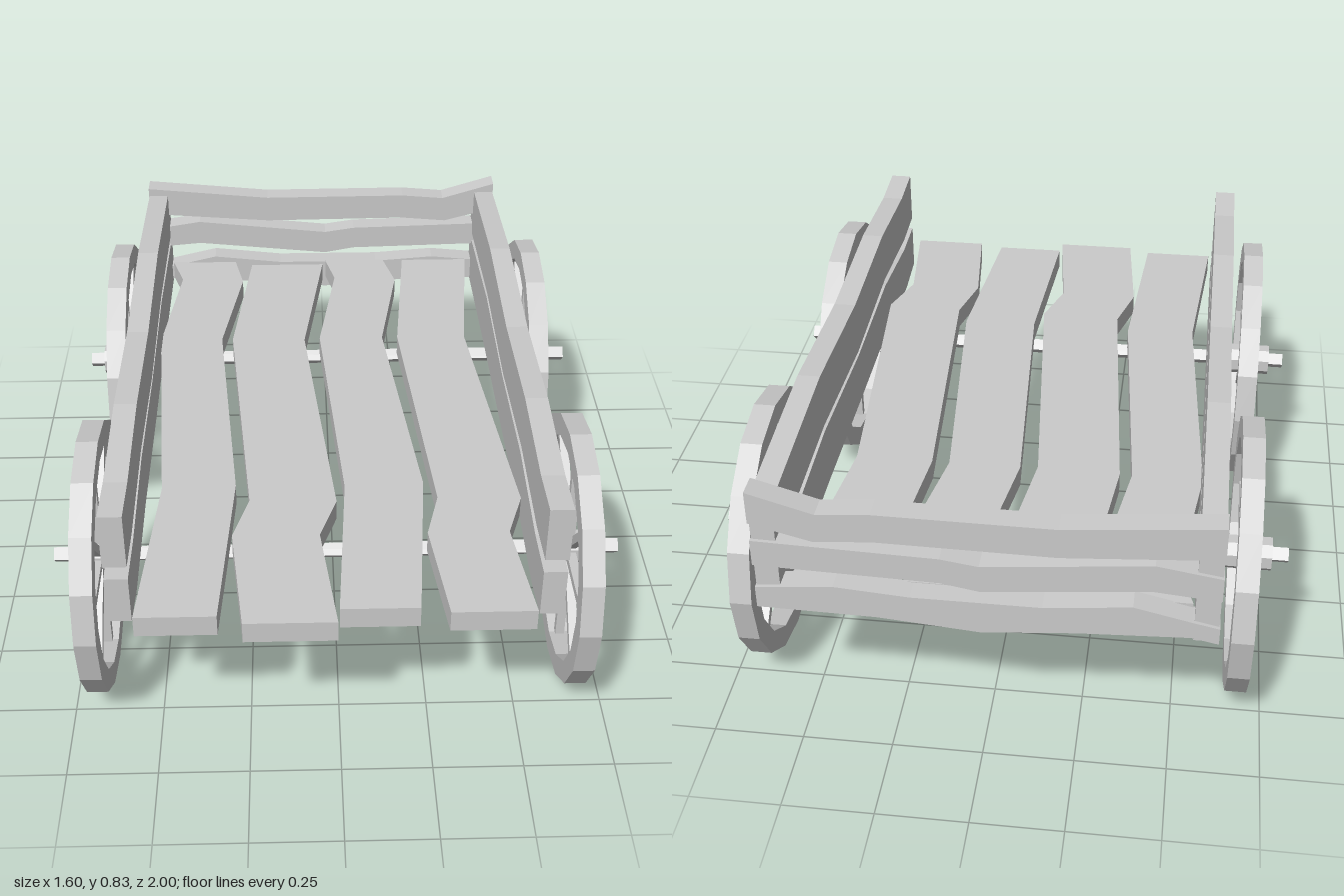
import * as THREE from 'three';

const wood = new THREE.MeshStandardMaterial({ color: 0xcccccc, flatShading: true });

function add(parent, name, geometry, x = 0, y = 0, z = 0) {
  const mesh = new THREE.Mesh(geometry, wood);
  mesh.name = name;
  mesh.position.set(x, y, z);
  parent.add(mesh);
  return mesh;
}

// A warped plank: two wavy edges joined into an outline, then given thickness
function plank(edgeA, edgeB, depth) {
  const points = [...edgeA, ...[...edgeB].reverse()].map(([x, y]) => new THREE.Vector2(x, y));
  return new THREE.ExtrudeGeometry(new THREE.Shape(points), { depth, bevelEnabled: false });
}

function polygon(radius, sides) {
  return Array.from({ length: sides }, (_, i) => {
    const a = (i / sides) * Math.PI * 2;
    return new THREE.Vector2(Math.cos(a) * radius, Math.sin(a) * radius);
  });
}

// Wheel with its axis along x
function createWheel(name) {
  const wheel = new THREE.Group();
  wheel.name = name;
  const ring = new THREE.Shape(polygon(0.387, 16));
  ring.holes.push(new THREE.Path(polygon(0.325, 16)));
  const rim = new THREE.ExtrudeGeometry(ring, { depth: 0.06, bevelEnabled: false });
  add(wheel, 'rim', rim.translate(0, 0, -0.03).rotateY(Math.PI / 2));
  const hub = new THREE.CylinderGeometry(0.048, 0.048, 0.157, 8);
  add(wheel, 'hub', hub.rotateY(Math.PI / 8).rotateZ(Math.PI / 2));
  for (let i = 0; i < 8; i++) {
    const spoke = new THREE.BoxGeometry(0.026, 0.3, 0.024).translate(0, 0.185, 0);
    add(wheel, 'spoke', spoke).rotation.x = (i * Math.PI) / 4;
  }
  return wheel;
}

export function createModel() {
  const cart = new THREE.Group();
  cart.name = 'cart';

  // Floor planks, edges as [x, z]
  const floor = [
    [[[-0.54, -0.94], [-0.5, -0.81], [-0.55, -0.4], [-0.495, 0.42], [-0.535, 0.97]],
      [[-0.32, -0.94], [-0.29, -0.79], [-0.35, -0.4], [-0.285, 0.41], [-0.32, 0.97]]],
    [[[-0.26, -0.91], [-0.315, -0.4], [-0.245, 0.48], [-0.29, 0.64], [-0.255, 1]],
      [[-0.01, -0.91], [-0.08, -0.39], [0, 0.49], [-0.05, 0.64], [-0.01, 1]]],
    [[[0, -0.94], [0.03, -0.81], [-0.03, -0.4], [0.025, 0.42], [-0.005, 0.95]],
      [[0.205, -0.94], [0.24, -0.79], [0.175, -0.4], [0.25, 0.41], [0.205, 0.95]]],
    [[[0.275, -0.94], [0.225, -0.4], [0.285, 0.48], [0.245, 0.64], [0.28, 0.97]],
      [[0.5, -0.94], [0.445, -0.4], [0.52, 0.49], [0.47, 0.64], [0.505, 0.97]]],
  ];
  for (const [a, b] of floor) {
    add(cart, 'floorPlank', plank(a, b, 0.062).rotateX(Math.PI / 2), 0, 0.537, 0);
  }

  // Side boards, edges as [z, y]
  const sides = {
    lowerSideBoard: [
      [[-0.99, 0.46], [-0.45, 0.475], [0, 0.475], [0.42, 0.48], [0.76, 0.455], [0.91, 0.475]],
      [[-0.99, 0.61], [-0.45, 0.65], [0, 0.63], [0.42, 0.645], [0.75, 0.61], [0.91, 0.615]]],
    upperSideBoard: [
      [[-0.99, 0.64], [-0.45, 0.67], [0, 0.645], [0.42, 0.67], [0.76, 0.645], [0.91, 0.655]],
      [[-0.99, 0.795], [-0.45, 0.833], [0, 0.807], [0.42, 0.828], [0.75, 0.805], [0.91, 0.815]]],
  };
  for (const [name, [low, high]] of Object.entries(sides)) {
    for (const [side, outerX] of [['left', 0.583], ['right', -0.545]]) {
      add(cart, `${side} ${name}`, plank(low, high, 0.063).rotateY(-Math.PI / 2), outerX);
    }
  }

  // Back boards, edges as [x, y]
  const back = [
    [[[-0.61, 0.46], [-0.54, 0.475], [-0.25, 0.46], [0, 0.437], [0.27, 0.46], [0.585, 0.465]],
      [[-0.61, 0.51], [-0.54, 0.525], [-0.39, 0.56], [-0.16, 0.535], [0.18, 0.535], [0.38, 0.55], [0.585, 0.53]]],
    [[[-0.61, 0.6], [-0.44, 0.615], [0, 0.572], [0.1, 0.59], [0.585, 0.602]],
      [[-0.61, 0.67], [-0.44, 0.697], [0, 0.652], [0.1, 0.667], [0.585, 0.68]]],
    [[[-0.61, 0.73], [-0.2, 0.7], [0.27, 0.705], [0.42, 0.692], [0.585, 0.735]],
      [[-0.61, 0.825], [-0.2, 0.787], [0.27, 0.79], [0.41, 0.778], [0.585, 0.83]]],
  ];
  for (const [low, high] of back) {
    add(cart, 'backBoard', plank(low, high, 0.065), 0, 0, -1);
  }

  // Axles and wheels
  for (const [end, z] of [['front', 0.525], ['back', -0.525]]) {
    const axle = new THREE.CylinderGeometry(0.026, 0.026, 1.6, 4).rotateZ(Math.PI / 2);
    add(cart, `${end} axle`, axle, 0, 0.39, z);
    for (const [side, x] of [['left', 0.662], ['right', -0.675]]) {
      const wheel = createWheel(`${end} ${side} wheel`);
      wheel.position.set(x, 0.39, z);
      cart.add(wheel);
    }
  }
  return cart;
}
